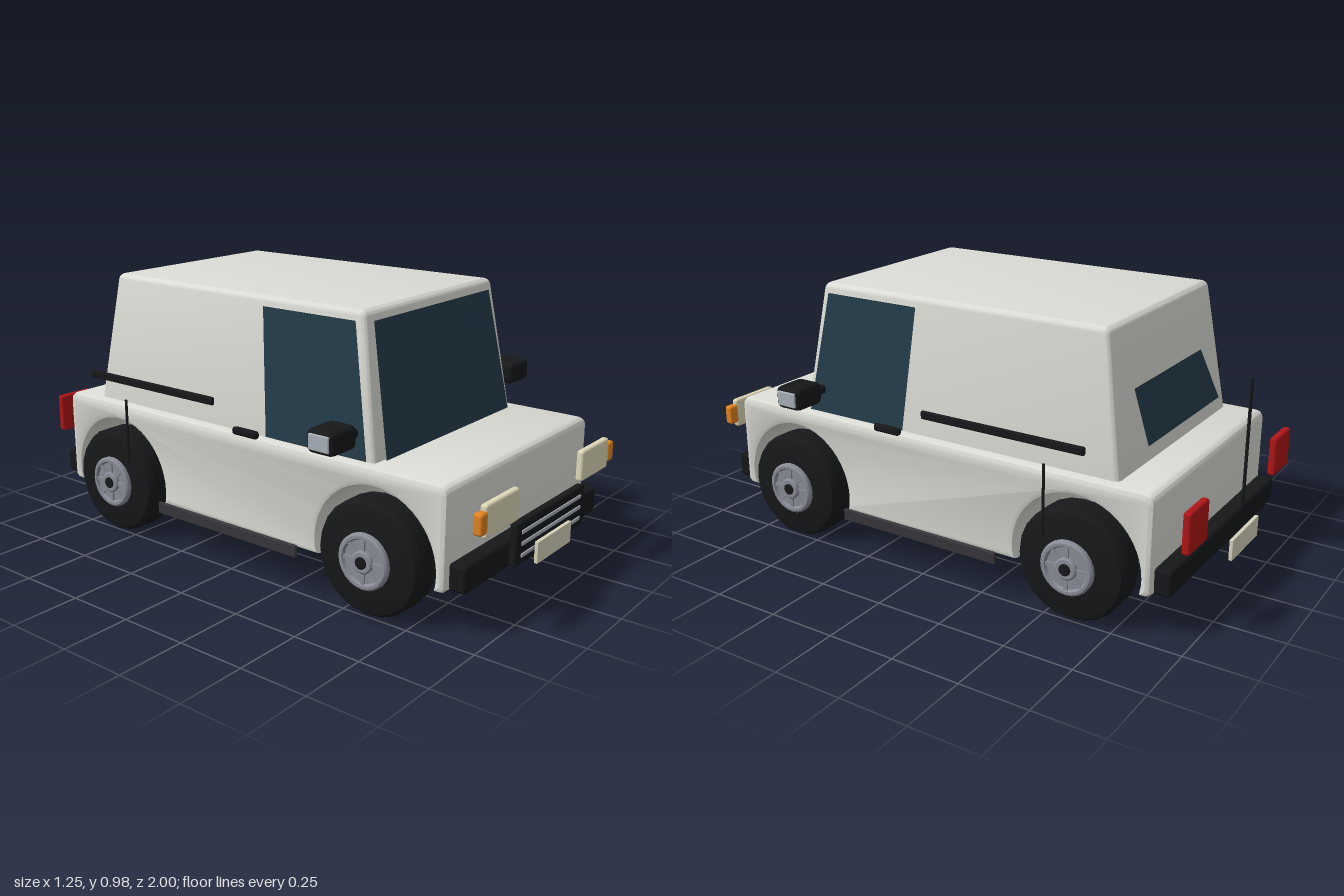
import * as THREE from 'three';
import { RoundedBoxGeometry } from 'three/addons/geometries/RoundedBoxGeometry.js';
import { toCreasedNormals } from 'three/addons/utils/BufferGeometryUtils.js';

const mat = (color, side = THREE.FrontSide) => new THREE.MeshStandardMaterial({ color, side });

export function createModel() {
  const car = new THREE.Group();
  car.name = 'offRoadCar';

  const paint = mat(0xdcdcd6), black = mat(0x161819), darkTrim = mat(0x37373c);
  const glass = mat(0x243c4a, THREE.DoubleSide), steel = mat(0x8a8d98), silver = mat(0xa9b0b8);
  const lamp = mat(0xe0d9ba), amber = mat(0xe28420), red = mat(0xb01517), plate = mat(0xd8d4bc);

  const add = (name, geo, material, parent = car) => {
    const mesh = new THREE.Mesh(geo, material);
    mesh.name = name;
    parent.add(mesh);
    return mesh;
  };
  // Rounded box given by its extents on each axis
  const box = (name, x0, x1, y0, y1, z0, z1, material, r = 0.01) => {
    const s = [x1 - x0, y1 - y0, z1 - z0];
    const geo = new RoundedBoxGeometry(...s, 2, Math.min(r, Math.min(...s) * 0.45));
    geo.translate((x0 + x1) / 2, (y0 + y1) / 2, (z0 + z1) / 2);
    return add(name, geo, material);
  };
  // Flat four-cornered pane
  const pane = (name, corners) => {
    const geo = new THREE.BufferGeometry();
    geo.setAttribute('position', new THREE.Float32BufferAttribute(corners.flat(), 3));
    geo.setIndex([0, 1, 2, 0, 2, 3]);
    geo.computeVertexNormals();
    return add(name, geo, glass);
  };
  const rod = (name, x, y0, y1, z, r = 0.005) =>
    add(name, new THREE.CylinderGeometry(r, r, y1 - y0, 8), black).position.set(x, (y0 + y1) / 2, z);

  // Lower body: side profile with wheel arches, extruded across the width
  const L = 0.87, bottom = 0.145, top = 0.5, c = 0.035, archR = 0.235, axleY = 0.2, axleZ = 0.595;
  const lift = Math.asin((axleY - bottom) / archR);
  const side = new THREE.Shape();
  side.moveTo(-L, bottom + 0.015);
  side.lineTo(-L + 0.015, bottom);
  for (const z of [-axleZ, axleZ]) side.absarc(z, axleY, archR, Math.PI + lift, -lift, true);
  side.lineTo(L - 0.015, bottom);
  side.lineTo(L, bottom + 0.015);
  side.lineTo(L, top - c);
  side.quadraticCurveTo(L, top, L - c, top);
  side.lineTo(-L + c, top);
  side.quadraticCurveTo(-L, top, -L, top - c);
  const bevel = 0.02, halfW = 0.475;
  let bodyGeo = new THREE.ExtrudeGeometry(side, {
    depth: 2 * (halfW - bevel), bevelEnabled: true, bevelThickness: bevel,
    bevelSize: bevel, bevelOffset: -bevel, bevelSegments: 2, curveSegments: 14,
  });
  bodyGeo.translate(0, 0, -(halfW - bevel));
  bodyGeo.rotateY(-Math.PI / 2);
  add('lowerBody', toCreasedNormals(bodyGeo, 0.5), paint);

  // Cabin: rounded box tapered toward the roof
  const cabinGeo = new RoundedBoxGeometry(2, 0.52, 2, 3, 0.022);
  cabinGeo.translate(0, 0.72, 0);
  const p = cabinGeo.attributes.position;
  for (let i = 0; i < p.count; i++) {
    const t = (p.getY(i) - 0.5) / 0.48;
    const hx = THREE.MathUtils.lerp(0.436, 0.392, t);
    const hz = THREE.MathUtils.lerp(0.65, 0.573, t);
    // keep the edge rounding at its own size while the box shrinks
    const fit = (v, h) => Math.sign(v) * (h - (1 - Math.abs(v)));
    const inner = (v, h) => (Math.abs(v) > 0.5 ? fit(v, h) : v * h);
    p.setX(i, inner(p.getX(i), hx));
    p.setZ(i, inner(p.getZ(i), hz) - 0.078);
  }
  add('cabin', toCreasedNormals(cabinGeo, 0.5), paint);

  // Windows
  pane('windscreen', [[-0.39, 0.503, 0.588], [0.39, 0.503, 0.588], [0.355, 0.942, 0.506], [-0.355, 0.942, 0.506]]);
  pane('rearWindow', [[0.29, 0.58, -0.757], [-0.29, 0.58, -0.757], [-0.265, 0.76, -0.685], [0.265, 0.76, -0.685]]);

  // Bumpers, grille and number plates
  box('frontBumper', -0.455, 0.455, 0.155, 0.25, 0.868, 0.932, black, 0.015);
  box('rearBumper', -0.455, 0.455, 0.155, 0.25, -0.932, -0.868, black, 0.015);
  box('grille', -0.237, 0.237, 0.185, 0.335, 0.955, 0.985, black);
  for (const y of [0.22, 0.26, 0.3]) box('grilleBar', -0.207, 0.207, y - 0.007, y + 0.007, 0.975, 0.989, silver, 0.003);
  box('frontPlate', -0.118, 0.118, 0.163, 0.24, 0.986, 1, plate, 0.003);
  box('rearPlate', -0.118, 0.118, 0.163, 0.24, -1, -0.986, plate, 0.003);
  rod('rearRod', 0, 0.3, 0.77, -0.98, 0.006);

  // Tyre and hub outlines, revolved around the axle
  const ring = (pts, n) => {
    const geo = new THREE.LatheGeometry(pts.map(([r, x]) => new THREE.Vector2(r, x)), n);
    return toCreasedNormals(geo.rotateZ(-Math.PI / 2), 0.45);
  };
  const tyreGeo = ring([[0, -0.067], [0.165, -0.067], [0.188, -0.06], [0.2, -0.04],
    [0.2, 0.04], [0.188, 0.06], [0.165, 0.067], [0, 0.067]], 24);
  const hubGeo = ring([[0.097, 0.06], [0.097, 0.08], [0.09, 0.086], [0.08, 0.086], [0.074, 0.076], [0, 0.076]], 24);
  const capGeo = ring([[0.04, 0.07], [0.04, 0.084], [0.034, 0.089], [0, 0.089]], 16);
  const nutGeo = ring([[0.021, 0.08], [0.021, 0.094], [0.016, 0.097], [0, 0.097]], 10);

  // Parts found on both sides
  for (const s of [1, -1]) {
    const name = s > 0 ? 'left' : 'right';
    const pair = (part, x0, x1, ...rest) =>
      box(name + part, Math.min(s * x0, s * x1), Math.max(s * x0, s * x1), ...rest);

    pane(name + 'Window', [[s * 0.442, 0.503, 0.545], [s * 0.442, 0.503, 0.12], [s * 0.401, 0.945, 0.08], [s * 0.401, 0.945, 0.467]]);
    pair('Headlight', 0.22, 0.425, 0.343, 0.455, 0.953, 0.98, lamp);
    pair('Indicator', 0.42, 0.461, 0.363, 0.436, 0.95, 0.984, amber);
    pair('TailLight', 0.303, 0.45, 0.315, 0.46, -0.982, -0.953, red);
    pair('BeltTrim', 0.526, 0.541, 0.607, 0.636, -0.657, -0.035, black, 0.006);
    pair('Sill', 0.523, 0.537, 0.143, 0.187, -0.327, 0.327, darkTrim, 0.005);
    pair('DoorHandle', 0.523, 0.547, 0.525, 0.553, 0.057, 0.167, black, 0.012);
    pair('MirrorArm', 0.42, 0.51, 0.573, 0.604, 0.475, 0.506, black, 0.012);
    pair('Mirror', 0.49, 0.62, 0.56, 0.641, 0.438, 0.547, black, 0.02);
    pair('MirrorGlass', 0.612, 0.624, 0.573, 0.628, 0.452, 0.533, silver, 0.005);
    rod(name + 'SideRod', s * 0.514, 0.29, 0.54, -0.5);

    for (const [end, z] of [['Front', axleZ], ['Rear', -axleZ]]) {
      const wheel = new THREE.Group();
      wheel.name = name + end + 'Wheel';
      add('tyre', tyreGeo, black, wheel);
      add('hub', hubGeo, steel, wheel);
      add('hubCap', capGeo, steel, wheel);
      add('hubNut', nutGeo, black, wheel);
      for (let i = 0; i < 8; i++) {
        const spoke = new THREE.BoxGeometry(0.012, 0.045, 0.014).translate(0.076, 0.056, 0);
        add('spoke', spoke, steel, wheel).rotation.x = (i * Math.PI) / 4;
      }
      wheel.position.set(s * 0.444, 0.2, z);
      if (s < 0) wheel.rotation.y = Math.PI;
      car.add(wheel);
    }
  }
  return car;
}
